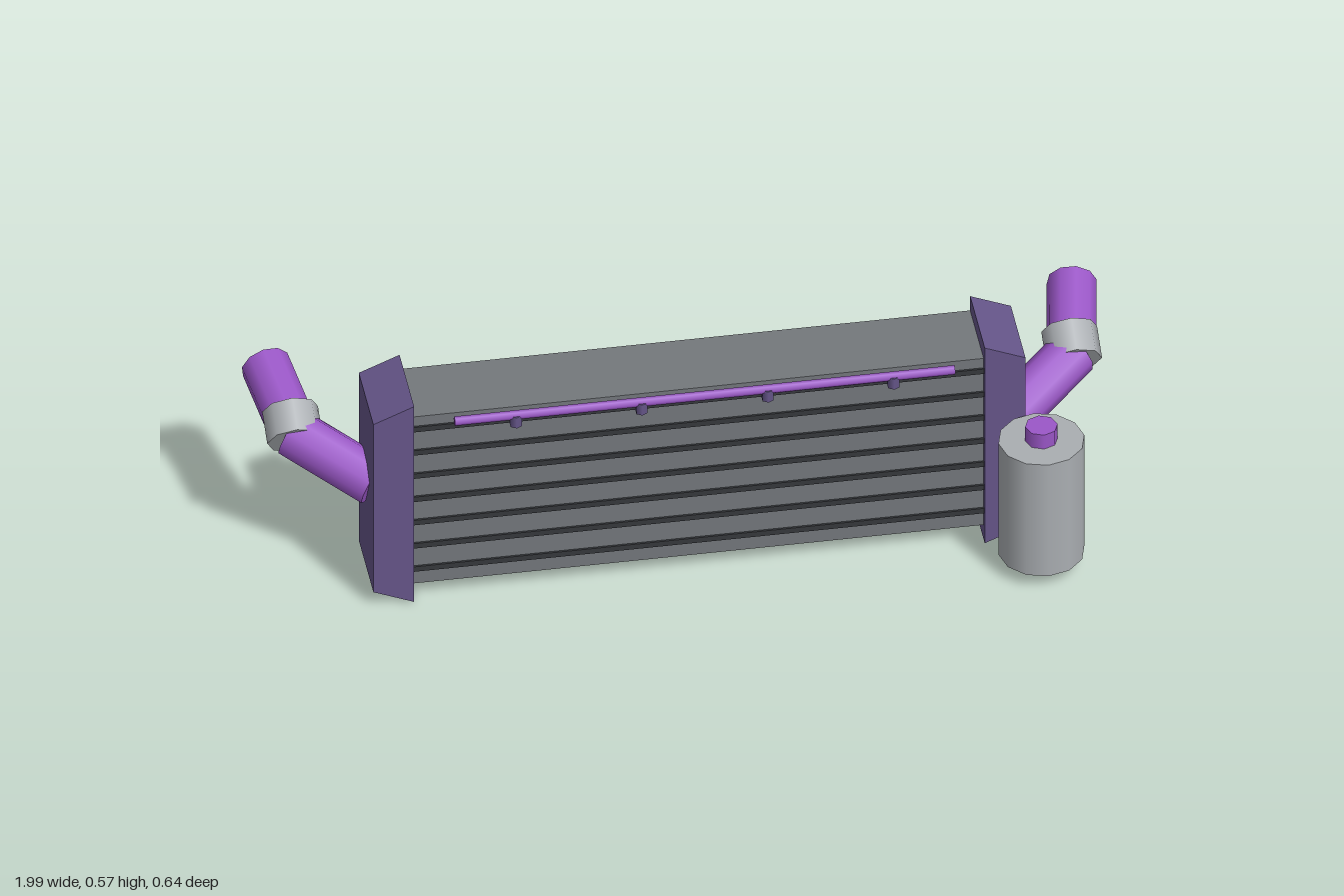
import * as THREE from 'three';

const mat = (name, color) => {
  const m = new THREE.MeshStandardMaterial({ color });
  m.name = name;
  return m;
};

export function createModel() {
  const group = new THREE.Group();
  group.name = 'radiator';
  const coreGray = mat('core gray', 0x74787c);
  const finDark = mat('fin dark', 0x36383c);
  const tankPurple = mat('tank purple', 0x66568a);
  const hosePurple = mat('hose purple', 0x9b57c8);
  const metal = mat('light metal', 0xaaaeb2);

  const add = (name, geo, material, x = 0, y = 0, z = 0) => {
    const mesh = new THREE.Mesh(geo, material);
    mesh.name = name;
    mesh.position.set(x, y, z);
    group.add(mesh);
    return mesh;
  };

  // Cylinder running between two points
  const rod = (name, a, b, radius, sides, material) => {
    const from = new THREE.Vector3(...a), to = new THREE.Vector3(...b);
    const dir = to.clone().sub(from);
    const mesh = add(name, new THREE.CylinderGeometry(radius, radius, dir.length(), sides), material);
    mesh.position.copy(from).add(to).multiplyScalar(0.5);
    mesh.quaternion.setFromUnitVectors(new THREE.Vector3(0, 1, 0), dir.normalize());
  };

  // Core block with dark fins across the front
  add('core', new THREE.BoxGeometry(1.34, 0.48, 0.185), coreGray, 0, 0.282, 0.0125);
  for (let i = 0; i < 7; i++) {
    add('fin', new THREE.BoxGeometry(1.33, 0.014, 0.008), finDark, 0, 0.086 + i * 0.067, 0.106);
  }

  // End tanks, hoses and clamps on both sides
  for (const s of [1, -1]) {
    const profile = new THREE.Shape([
      [0.665, 0], [0.76, 0.04], [0.76, 0.523], [0.665, 0.563],
    ].map(([x, y]) => new THREE.Vector2(s * x, y)));
    const tank = new THREE.ExtrudeGeometry(profile, { depth: 0.2, bevelEnabled: false });
    add('endTank', tank, tankPurple, 0, 0, -0.08);

    rod('innerHose', [s * 0.74, 0.282, 0.02], [s * 0.912, 0.354, -0.105], 0.059, 10, hosePurple);
    rod('outerHose', [s * 0.906, 0.351, -0.11], [s * 0.94, 0.402, -0.305], 0.058, 10, hosePurple);
    rod('hoseClamp', [s * 0.908, 0.344, -0.083], [s * 0.908, 0.384, -0.152], 0.065, 8, metal);
  }

  // Overflow bottle and its cap
  add('bottle', new THREE.CylinderGeometry(0.1, 0.1, 0.32, 12), metal, 0.78, 0.2, 0.22);
  add('bottleCap', new THREE.CylinderGeometry(0.038, 0.038, 0.04, 8), hosePurple, 0.78, 0.38, 0.22);

  // Thin spray bar with small nozzles
  rod('sprayBar', [-0.583, 0.563, 0.19], [0.583, 0.563, 0.19], 0.011, 6, hosePurple);
  for (const x of [-0.44, -0.147, 0.147, 0.44]) {
    add('nozzle', new THREE.CylinderGeometry(0.015, 0.015, 0.03, 6), tankPurple, x, 0.55, 0.19);
  }

  return group;
}
